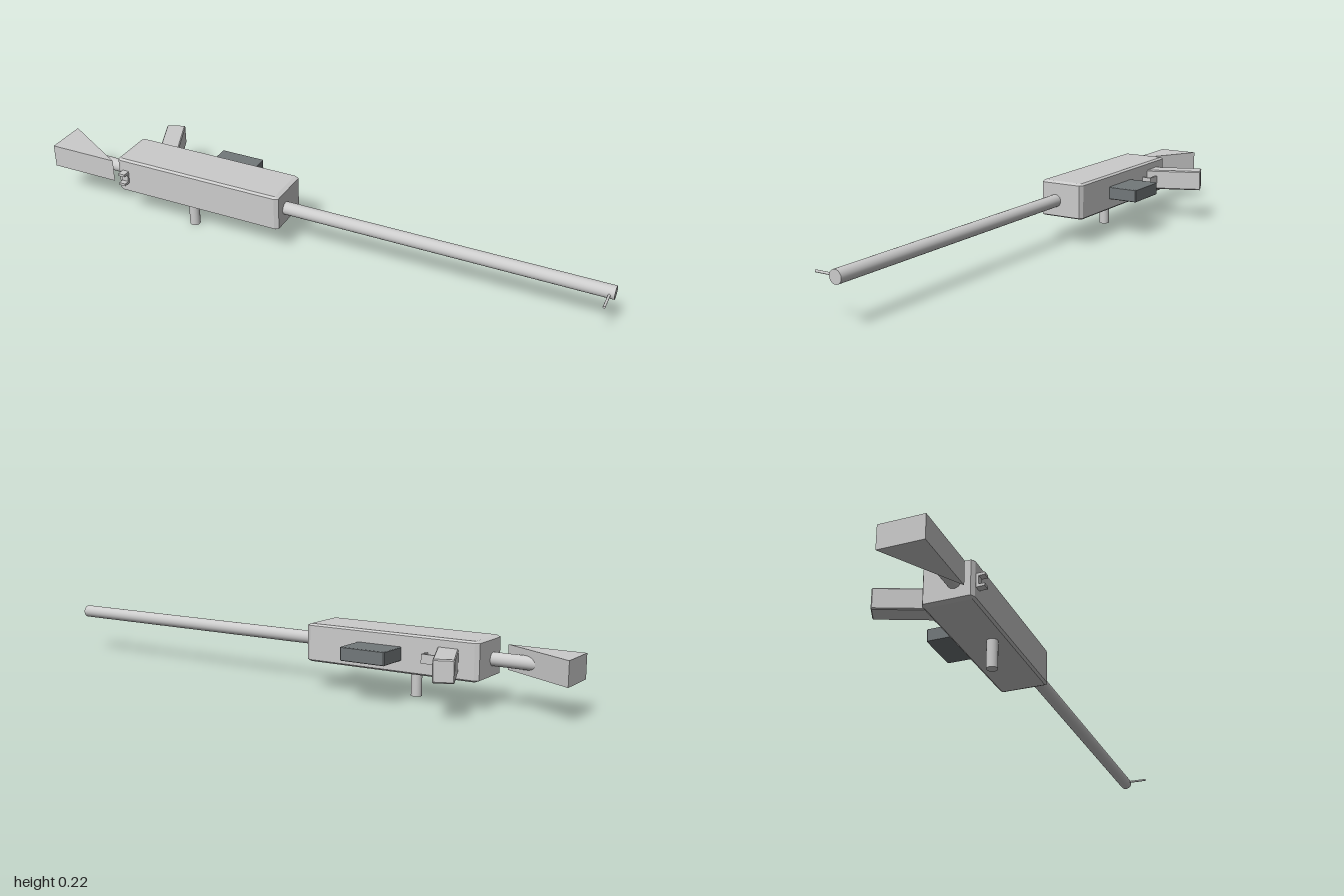
import * as THREE from 'three';
import { ConvexGeometry } from 'three/addons/geometries/ConvexGeometry.js';

const AXIS_Y = 0.152, AXIS_Z = 0.1;

// Box with chamfered edges; c holds the chamfer along each axis
function chamferBox(w, h, d, [cx, cy, cz]) {
  const points = [];
  for (const x of [-w / 2, w / 2])
    for (const y of [-h / 2, h / 2])
      for (const z of [-d / 2, d / 2]) {
        const ix = x - Math.sign(x) * cx, iy = y - Math.sign(y) * cy, iz = z - Math.sign(z) * cz;
        points.push(new THREE.Vector3(x, iy, iz), new THREE.Vector3(ix, y, iz), new THREE.Vector3(ix, iy, z));
      }
  return new ConvexGeometry(points);
}

export function createModel() {
  const model = new THREE.Group();
  const grey = new THREE.MeshStandardMaterial({ color: 0xcccccc });
  const dark = new THREE.MeshStandardMaterial({ color: 0x72787a });

  function add(name, geometry, x, y, z, material = grey) {
    const mesh = new THREE.Mesh(geometry, material);
    mesh.name = name;
    mesh.position.set(x, y, z);
    model.add(mesh);
    return mesh;
  }

  // Rod between two x positions on the long axis
  function rod(name, x0, x1) {
    const geometry = new THREE.CylinderGeometry(0.022, 0.022, x1 - x0, 32).rotateZ(Math.PI / 2);
    add(name, geometry, (x0 + x1) / 2, AXIS_Y, AXIS_Z);
  }

  // Main body with barrel and stock rod
  add('body', chamferBox(0.62, 0.127, 0.164, [0.014, 0.006, 0.008]), -0.41, 0.1565, 0.077);
  rod('barrel', -0.12, 1);
  rod('stockRod', -0.9, -0.7);

  // Wedge stock, drawn in plan and extruded upward
  const wedge = new THREE.Shape([
    new THREE.Vector2(-1, 0), new THREE.Vector2(-1, -0.145), new THREE.Vector2(-0.75, -0.145),
  ]);
  const stock = new THREE.ExtrudeGeometry(wedge, { depth: 0.08, bevelEnabled: false });
  add('stock', stock.rotateX(-Math.PI / 2), 0, 0.114, 0);

  // Slanted grip
  const grip = add('grip', chamferBox(0.066, 0.072, 0.21, [0.003, 0.004, 0.003]), -0.649, 0.155, -0.08);
  grip.rotation.y = 0.4;

  // Magazine
  add('magazine', chamferBox(0.16, 0.045, 0.122, [0.003, 0.002, 0.003]), -0.375, 0.155, -0.051, dark);

  // Bent strip guarding the space in front of the grip
  add('guardBar', new THREE.BoxGeometry(0.056, 0.03, 0.006), -0.571, 0.155, -0.036);
  add('guardEnd', new THREE.BoxGeometry(0.006, 0.03, 0.04), -0.546, 0.155, -0.019);

  // Side handle
  add('handle', new THREE.CylinderGeometry(0.018, 0.018, 0.11, 32), -0.453, 0.055, 0.107);

  // Forked rear sight
  add('rearSightBase', new THREE.BoxGeometry(0.024, 0.045, 0.01), -0.689, 0.155, 0.162);
  for (const side of [-1, 1])
    add('rearSightProng', new THREE.BoxGeometry(0.024, 0.009, 0.028), -0.689, 0.155 + side * 0.018, 0.172);

  // Front sight pin
  add('frontSight', new THREE.CylinderGeometry(0.004, 0.004, 0.086, 12).rotateX(Math.PI / 2), 0.984, AXIS_Y, 0.143);

  return model;
}
